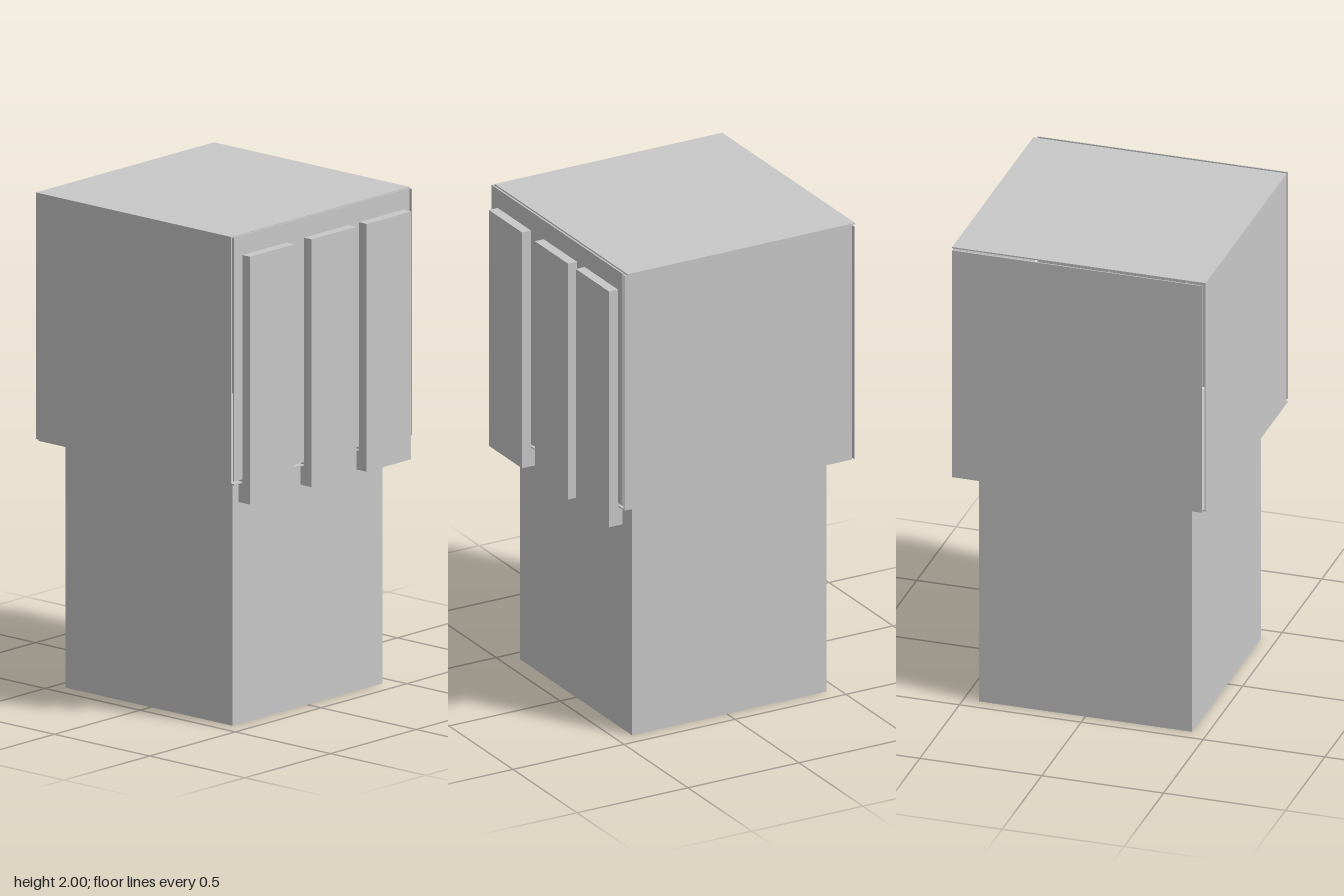
import * as THREE from 'three';

export function createModel() {
  const model = new THREE.Group();
  const grey = new THREE.MeshStandardMaterial({ color: 0xc8c8c8 });
  grey.name = 'light grey';

  const box = (name, w, h, d, x, y, z) => {
    const mesh = new THREE.Mesh(new THREE.BoxGeometry(w, h, d), grey);
    mesh.name = name;
    mesh.position.set(x, y, z);
    model.add(mesh);
  };

  const cz = -0.01; // both blocks sit slightly behind the centre
  const half = 0.52, t = 0.005;
  const short = 1.025, shift = 0.0075; // each plate reaches one corner and stops just short of the next

  // Lower block
  box('base', 0.875, 1, 0.875, 0, 0.5, cz);

  // Hollow upper block of six thin plates, overlapping in turn with narrow gaps between
  for (const s of [-1, 1]) {
    const out = s * (half - t / 2), turn = s * shift;
    box(s > 0 ? 'leftPanel' : 'rightPanel', t, 0.99, short, out, 1.5, cz + turn);
    box(s > 0 ? 'frontPanel' : 'backPanel', short, 0.985, t, -turn, 1.5 + turn, cz + out);
    box(s > 0 ? 'topPanel' : 'floorPanel', 2 * half, t, short, 0, 1.5 + s * (0.5 - t / 2), cz - turn);
  }

  // Three upright slats hanging over the front
  for (const x of [-0.34, 0.02, 0.34]) box('frontSlat', 0.26, 1, 0.06, x, 1.42, 0.52);

  return model;
}
